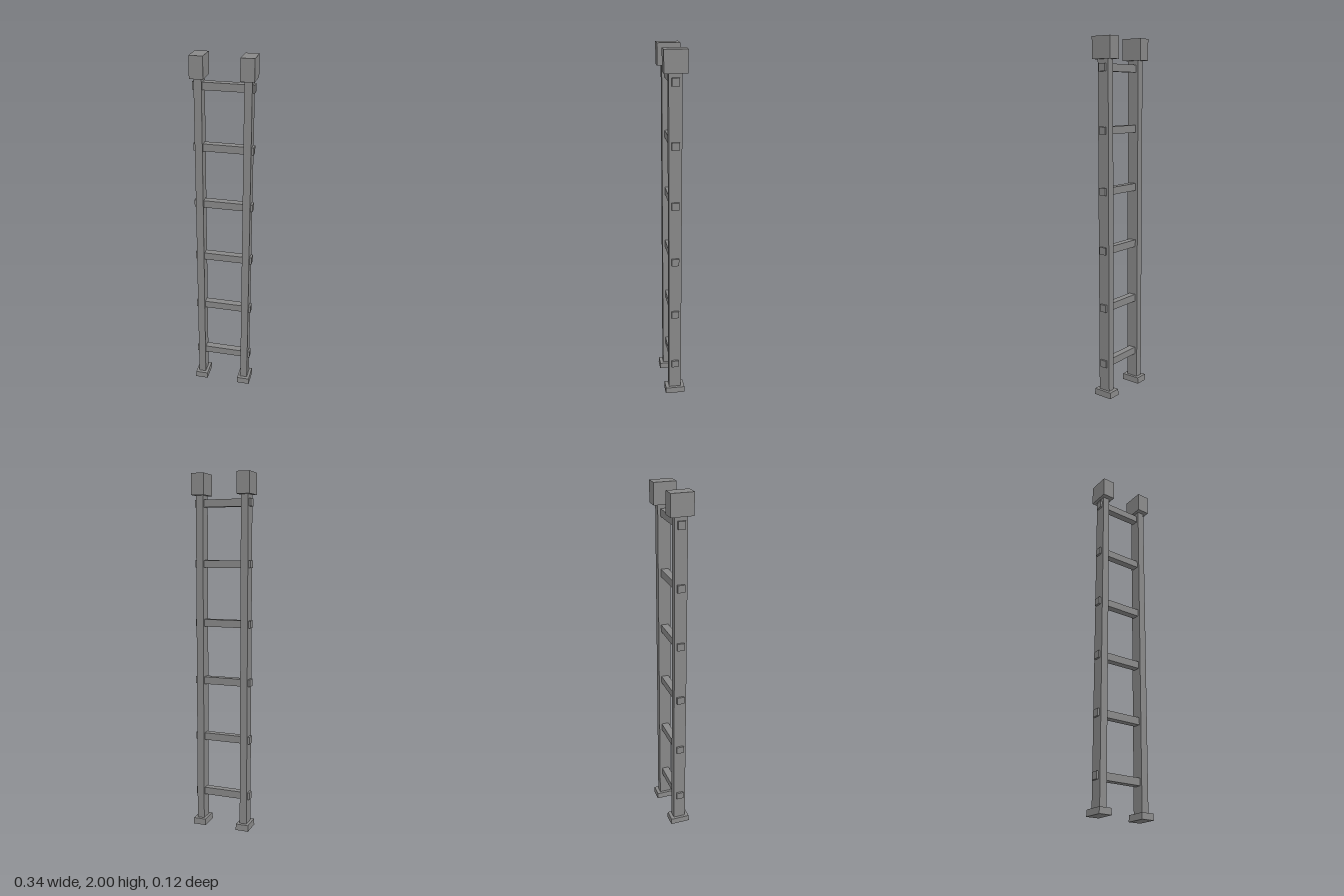
import * as THREE from 'three';

const material = new THREE.MeshStandardMaterial({ color: 0x888888, flatShading: true });

function addBox(parent, name, [w, h, d], [x, y, z], topScale = 1) {
  const geometry = new THREE.BoxGeometry(w, h, d);
  const p = geometry.attributes.position;
  // Optional slight taper towards the top
  for (let i = 0; i < p.count; i++) {
    if (p.getY(i) > 0) {
      p.setX(i, p.getX(i) * topScale);
      p.setZ(i, p.getZ(i) * topScale);
    }
  }
  geometry.computeVertexNormals();
  const mesh = new THREE.Mesh(geometry, material);
  mesh.name = name;
  mesh.position.set(x, y, z);
  parent.add(mesh);
}

export function createModel() {
  const ladder = new THREE.Group();
  ladder.name = 'ladder';

  // Side rails, each with a foot and a top cap
  for (const [side, s] of [['left', 1], ['right', -1]]) {
    const x = s * 0.131;
    addBox(ladder, side + 'Rail', [0.041, 1.87, 0.07], [x, 0.965, 0]);
    addBox(ladder, side + 'Foot', [0.075, 0.035, 0.114], [x, 0.0175, 0], 0.96);
    addBox(ladder, side + 'Cap', [0.073, 0.117, 0.123], [x, 1.9415, 0]);
  }

  // Rungs pass through both rails and stick out a little
  for (let i = 0; i < 6; i++) {
    addBox(ladder, 'rung' + (i + 1), [0.326, 0.041, 0.041], [0, 0.196 + i * 0.3288, 0]);
  }
  return ladder;
}
